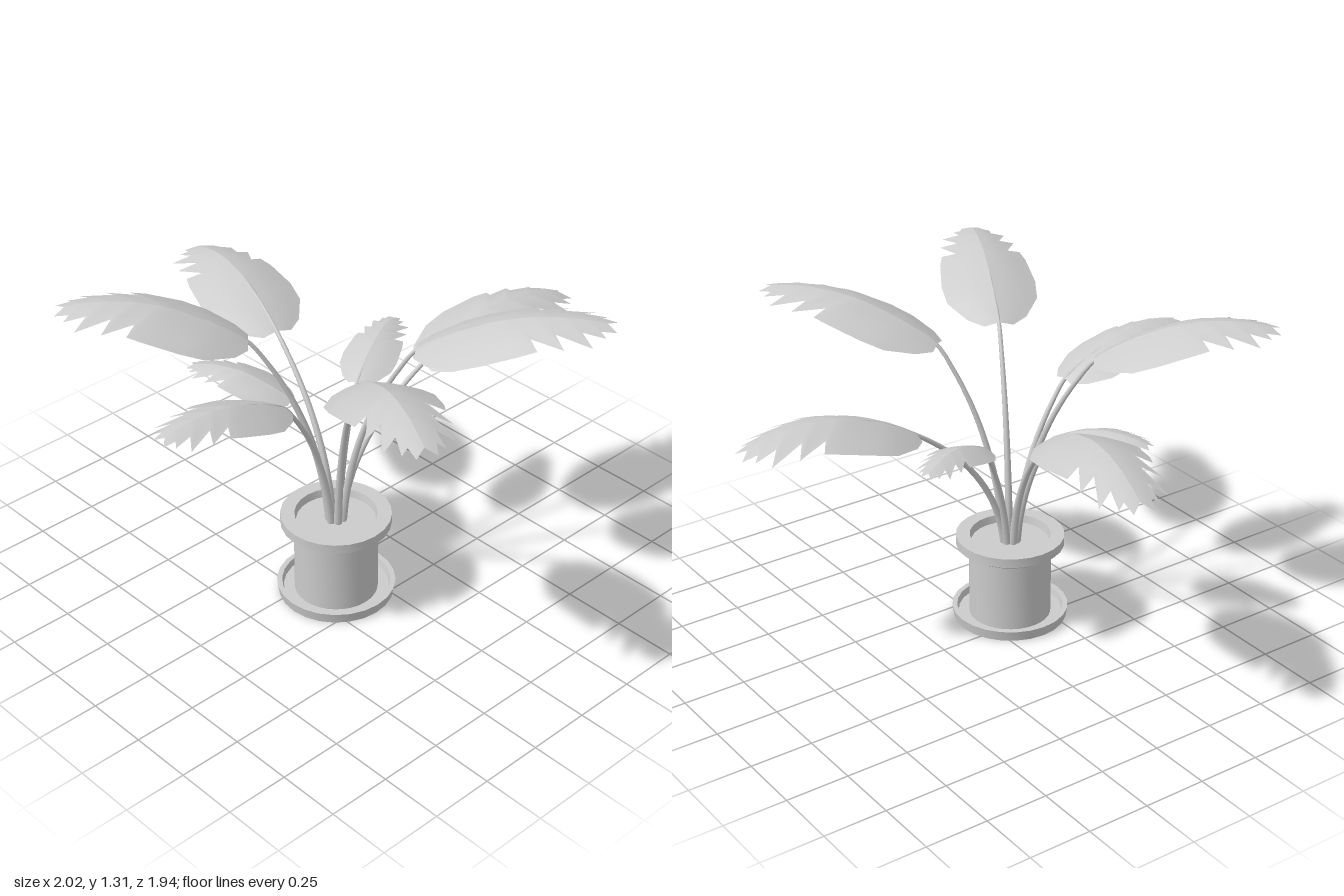
import * as THREE from 'three';
import { toCreasedNormals } from 'three/addons/utils/BufferGeometryUtils.js';

const CX = 0.088, CZ = 0.13; // pot axis

const grey = new THREE.MeshStandardMaterial({ color: 0xcccccc });
const leafGrey = new THREE.MeshStandardMaterial({ color: 0xcccccc, side: THREE.DoubleSide });

// Base and tip as [x, z], ridge heights [base, crest, tip], half width
const LEAVES = [
  { name: 'backLeaf', base: [0.14, -0.27], tip: [0.235, -0.97], y: [0.89, 1.025, 0.955], w: 0.19 },
  { name: 'backLeftLeaf', base: [0.33, -0.04], tip: [0.89, -0.48], y: [1.13, 1.3, 1.285], w: 0.185 },
  { name: 'frontLeftLeaf', base: [0.36, 0.27], tip: [0.99, 0.57], y: [1.13, 1.305, 1.275], w: 0.19 },
  { name: 'frontLeaf', base: [0.095, 0.39], tip: [0.095, 0.965], y: [0.96, 1.09, 1.07], w: 0.15 },
  { name: 'frontRightLeaf', base: [-0.13, 0.36], tip: [-0.58, 0.88], y: [1.13, 1.3, 1.275], w: 0.19 },
  { name: 'rightLeaf', base: [-0.31, 0.06], tip: [-1.0, 0.1 - 0.2], y: [0.965, 1.08, 1.0], w: 0.195 },
  { name: 'smallFrontRightLeaf', base: [-0.08, 0.2], tip: [-0.46, 0.38], y: [0.825, 0.91, 0.885], w: 0.11 },
  { name: 'smallBackRightLeaf', base: [0.0, -0.06], tip: [-0.18, -0.44], y: [0.825, 0.91, 0.885], w: 0.11 },
];

// Ribs of half a blade: [start along ridge, end along ridge, end across]
const RIBS = [
  [0, 0, 0.3], [0.03, 0.07, 0.62], [0.1, 0.22, 0.95], [0.2, 0.35, 1], [0.36, 0.54, 0.92],
  [0.42, 0.62, 0.84], [0.46, 0.58, 0.56], [0.55, 0.75, 0.8], [0.6, 0.7, 0.46],
  [0.7, 0.89, 0.68], [0.75, 0.83, 0.36], [0.84, 0.95, 0.4], [0.88, 0.92, 0.26],
  [0.92, 1, 0.2], [0.95, 0.95, 0],
];

// Point on a blade: t along the ridge, s across (-1..1)
function bladePoint(leaf, t, s) {
  const [y0, y1, y2] = leaf.y, m = 0.62;
  const y = y0 * (t - m) * (t - 1) / m + y1 * t * (t - 1) / (m * (m - 1)) + y2 * t * (t - m) / (1 - m);
  const dx = leaf.tip[0] - leaf.base[0], dz = leaf.tip[1] - leaf.base[1];
  const k = s * leaf.w / Math.hypot(dx, dz);
  return new THREE.Vector3(
    leaf.base[0] + dx * t + dz * k,
    y - 0.36 * leaf.w * Math.abs(s) ** 1.4,
    leaf.base[1] + dz * t - dx * k,
  );
}

// Arched blade with torn edges, one strip of ribs on each side of the ridge
function bladeGeometry(leaf) {
  const pos = [], index = [], n = 4;
  for (const side of [1, -1]) {
    const start = pos.length / 3;
    RIBS.forEach(([t0, t1, w], i) => {
      for (let j = 0; j <= n; j++) {
        const f = j / n;
        pos.push(...bladePoint(leaf, t0 + (t1 - t0) * f, side * w * f).toArray());
        if (i === 0 || j === 0) continue;
        const d = start + i * (n + 1) + j, c = d - 1, b = d - n - 1, a = b - 1;
        if (side > 0) index.push(a, b, d, a, d, c);
        else index.push(a, d, b, a, c, d);
      }
    });
  }
  const geo = new THREE.BufferGeometry();
  geo.setAttribute('position', new THREE.Float32BufferAttribute(pos, 3));
  geo.setIndex(index);
  geo.computeVertexNormals();
  return geo;
}

// Tapered stem that arcs out of the soil and runs on below the ridge
function stemGeometry(leaf) {
  const end = bladePoint(leaf, 0, 0);
  end.y -= 0.008;
  const dir = new THREE.Vector3(end.x - CX, 0, end.z - CZ).normalize();
  const root = new THREE.Vector3(CX, 0.31, CZ).addScaledVector(dir, 0.025);
  const bend = root.clone().addScaledVector(dir, 0.035);
  bend.y += 0.62 * (end.y - root.y);
  const points = new THREE.QuadraticBezierCurve3(root, bend, end).getPoints(8);
  for (const t of [0.15, 0.3, 0.42]) {
    const p = bladePoint(leaf, t, 0);
    p.y -= 0.007;
    points.push(p);
  }
  const path = new THREE.CatmullRomCurve3(points);
  const n = 28, sides = 8, geo = new THREE.TubeGeometry(path, n, 1, sides);
  const pos = geo.attributes.position, v = new THREE.Vector3();
  for (let i = 0; i <= n; i++) {
    const c = path.getPointAt(i / n), r = 0.016 - 0.011 * i / n;
    for (let j = 0; j <= sides; j++) {
      const k = i * (sides + 1) + j;
      v.fromBufferAttribute(pos, k).sub(c).multiplyScalar(r).add(c);
      pos.setXYZ(k, v.x, v.y, v.z);
    }
  }
  return geo;
}

// Turned part from an [r, y] profile
function turned(name, profile, segments) {
  const geo = new THREE.LatheGeometry(profile.map(([r, y]) => new THREE.Vector2(r, y)), segments);
  const mesh = new THREE.Mesh(toCreasedNormals(geo, 0.5), grey);
  mesh.name = name;
  mesh.position.set(CX, 0, CZ);
  return mesh;
}

export function createModel() {
  const model = new THREE.Group();
  model.name = 'pottedPlant';

  // Pot
  model.add(
    turned('saucer', [[0, 0], [0.225, 0], [0.232, 0.042], [0.212, 0.042], [0.206, 0.015], [0, 0.015]], 24),
    turned('potBody', [[0.163, 0.012], [0.163, 0.322]], 32),
    turned('potRim', [[0.16, 0.31], [0.2, 0.312], [0.215, 0.322], [0.215, 0.36], [0.16, 0.36], [0.154, 0.325]], 24),
    turned('soil', [[0.16, 0.328], [0, 0.328]], 24),
  );

  // Foliage
  for (const leaf of LEAVES) {
    const group = new THREE.Group();
    group.name = leaf.name;
    const blade = new THREE.Mesh(bladeGeometry(leaf), leafGrey);
    blade.name = 'blade';
    const stem = new THREE.Mesh(stemGeometry(leaf), grey);
    stem.name = 'stem';
    group.add(blade, stem);
    model.add(group);
  }
  return model;
}
